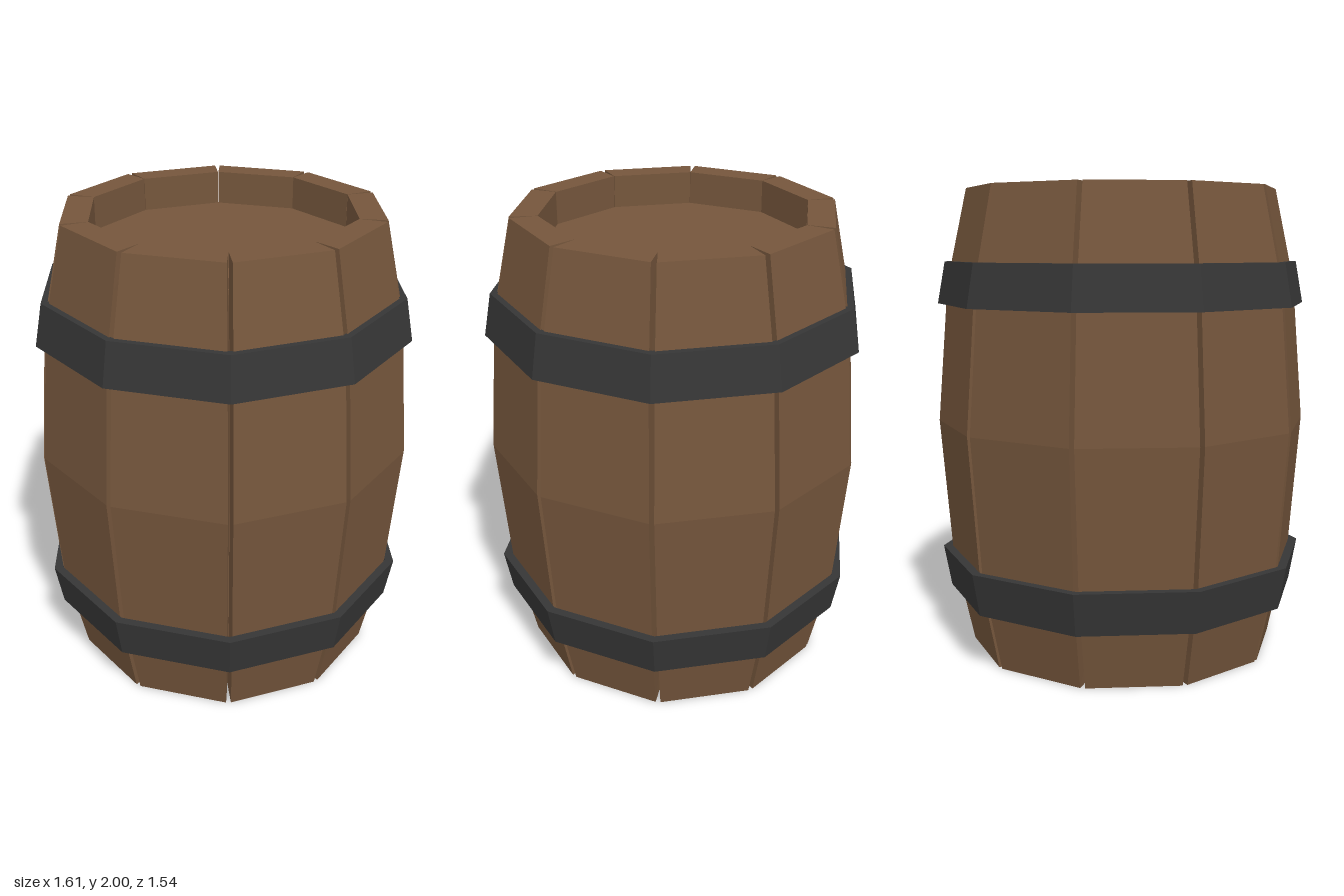
import * as THREE from 'three';

const SIDES = 10;
const TAN = Math.tan(Math.PI / SIDES);
const GAP = 0.011; // half width of the groove between staves

const wood = new THREE.MeshStandardMaterial({ color: 0x75563c, flatShading: true });
const iron = new THREE.MeshStandardMaterial({ color: 0x363636, flatShading: true });

// Stave profile: height, distance of outer face, distance of inner face
const PROFILE = [
  [0, 0.64, 0.53], [0.14, 0.669, 0.53], [0.4, 0.723, 0.61], [1, 0.769, 0.655],
  [1.6, 0.723, 0.61], [1.86, 0.669, 0.53], [2, 0.64, 0.53],
];

// One plank facing +z, lofted through four-cornered sections
function staveGeometry() {
  const positions = [];
  const sections = PROFILE.map(([y, outer, inner]) => {
    const wo = outer * TAN - GAP, wi = inner * TAN - 0.001;
    return [[-wo, y, outer], [wo, y, outer], [wi, y, inner], [-wi, y, inner]];
  });
  const quad = (a, b, c, d) => positions.push(...a, ...b, ...c, ...a, ...c, ...d);
  for (let i = 0; i < sections.length - 1; i++) {
    const lo = sections[i], hi = sections[i + 1];
    for (let k = 0; k < 4; k++) {
      const n = (k + 1) % 4;
      quad(lo[k], lo[n], hi[n], hi[k]);
    }
  }
  const bottom = sections[0], top = sections[sections.length - 1];
  quad(top[0], top[1], top[2], top[3]);
  quad(bottom[3], bottom[2], bottom[1], bottom[0]);
  const g = new THREE.BufferGeometry();
  g.setAttribute('position', new THREE.Float32BufferAttribute(positions, 3));
  g.computeVertexNormals();
  return g;
}

// Closed ten-sided ring, wider on the side nearest the belly
function hoopGeometry() {
  const points = [[0.801, 1.51], [0.768, 1.69], [0.733, 1.69], [0.762, 1.51], [0.801, 1.51]]
    .map(([r, y]) => new THREE.Vector2(r, y - 1));
  return new THREE.LatheGeometry(points, SIDES, Math.PI / SIDES);
}

export function createModel() {
  const barrel = new THREE.Group();
  barrel.name = 'barrel';

  const add = (name, geometry, material) => {
    const mesh = new THREE.Mesh(geometry, material);
    mesh.name = name;
    barrel.add(mesh);
    return mesh;
  };

  // Planks around the wall
  const stave = staveGeometry();
  for (let i = 0; i < SIDES; i++) {
    add('stave' + (i + 1), stave, wood).rotation.y = (i * Math.PI * 2) / SIDES;
  }

  // Recessed lid and base
  const head = new THREE.CylinderGeometry(0.565, 0.565, 0.06, SIDES, 1, false, Math.PI / SIDES);
  add('lid', head, wood).position.y = 1.83;
  add('base', head, wood).position.y = 0.17;

  // Metal hoops, the lower one turned over
  const hoop = hoopGeometry();
  add('upperHoop', hoop, iron).position.y = 1;
  const lower = add('lowerHoop', hoop, iron);
  lower.position.y = 0.94;
  lower.rotation.x = Math.PI;

  return barrel;
}
